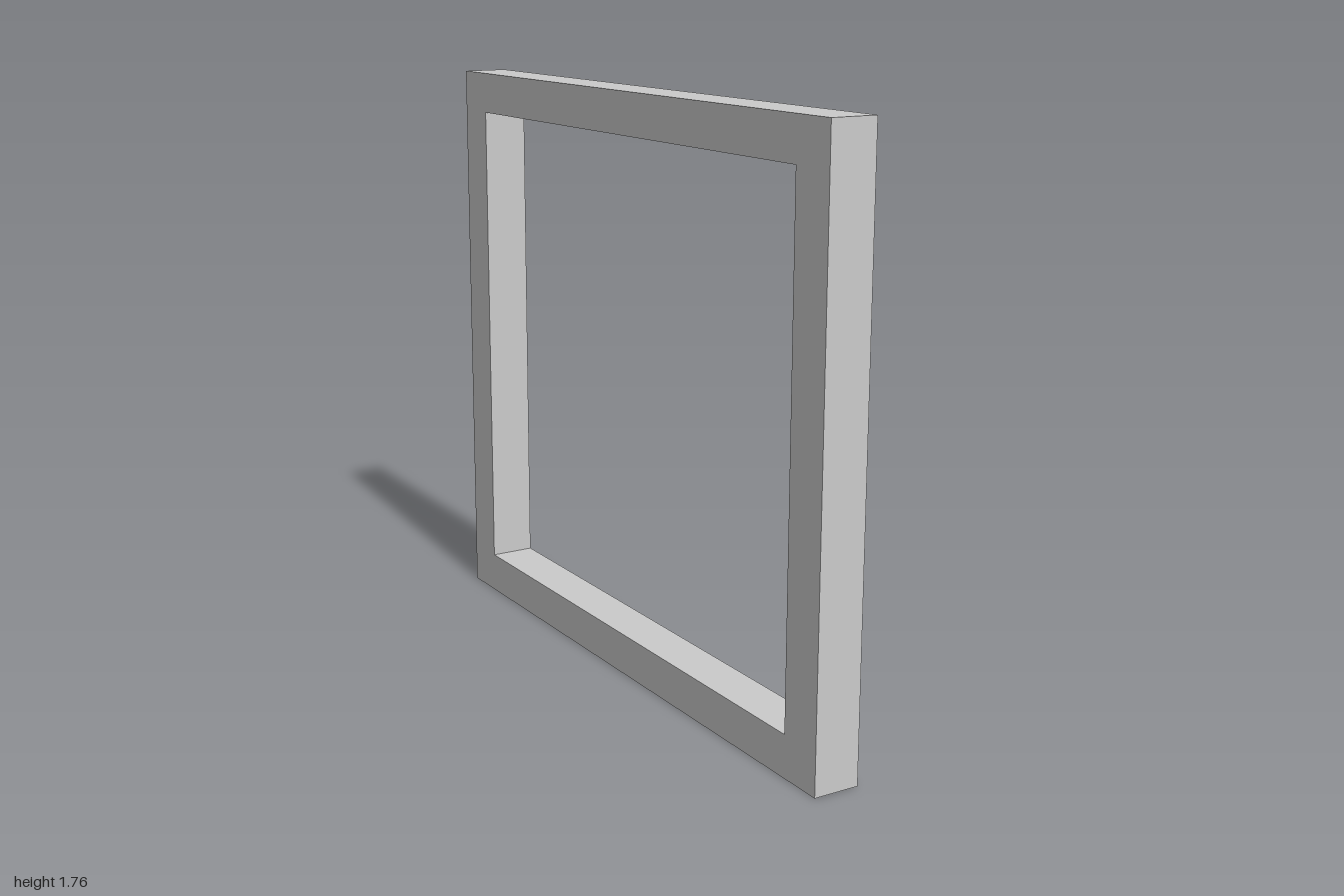
import * as THREE from 'three';

const HEIGHT = 1.764, HALF_LENGTH = 1, THICKNESS = 0.14;
const POST = 0.14, RAIL = 0.126; // widths of the upright and horizontal bars

function rectangle(target, halfWidth, bottom, top) {
  target.moveTo(-halfWidth, bottom);
  target.lineTo(halfWidth, bottom);
  target.lineTo(halfWidth, top);
  target.lineTo(-halfWidth, top);
  target.closePath();
  return target;
}

export function createModel() {
  const group = new THREE.Group();
  group.name = 'rectangularFrame';

  // Outer outline with the opening cut out
  const outline = rectangle(new THREE.Shape(), HALF_LENGTH, 0, HEIGHT);
  outline.holes.push(rectangle(new THREE.Path(), HALF_LENGTH - POST, RAIL, HEIGHT - RAIL));

  // Extrude through the thickness, then turn the frame to lie along z
  const geometry = new THREE.ExtrudeGeometry(outline, { depth: THICKNESS, bevelEnabled: false });
  geometry.translate(0, 0, -THICKNESS / 2);
  geometry.rotateY(Math.PI / 2);

  const frame = new THREE.Mesh(
    geometry,
    new THREE.MeshStandardMaterial({ color: 0xcccccc, flatShading: true })
  );
  frame.name = 'frame';
  group.add(frame);
  return group;
}
